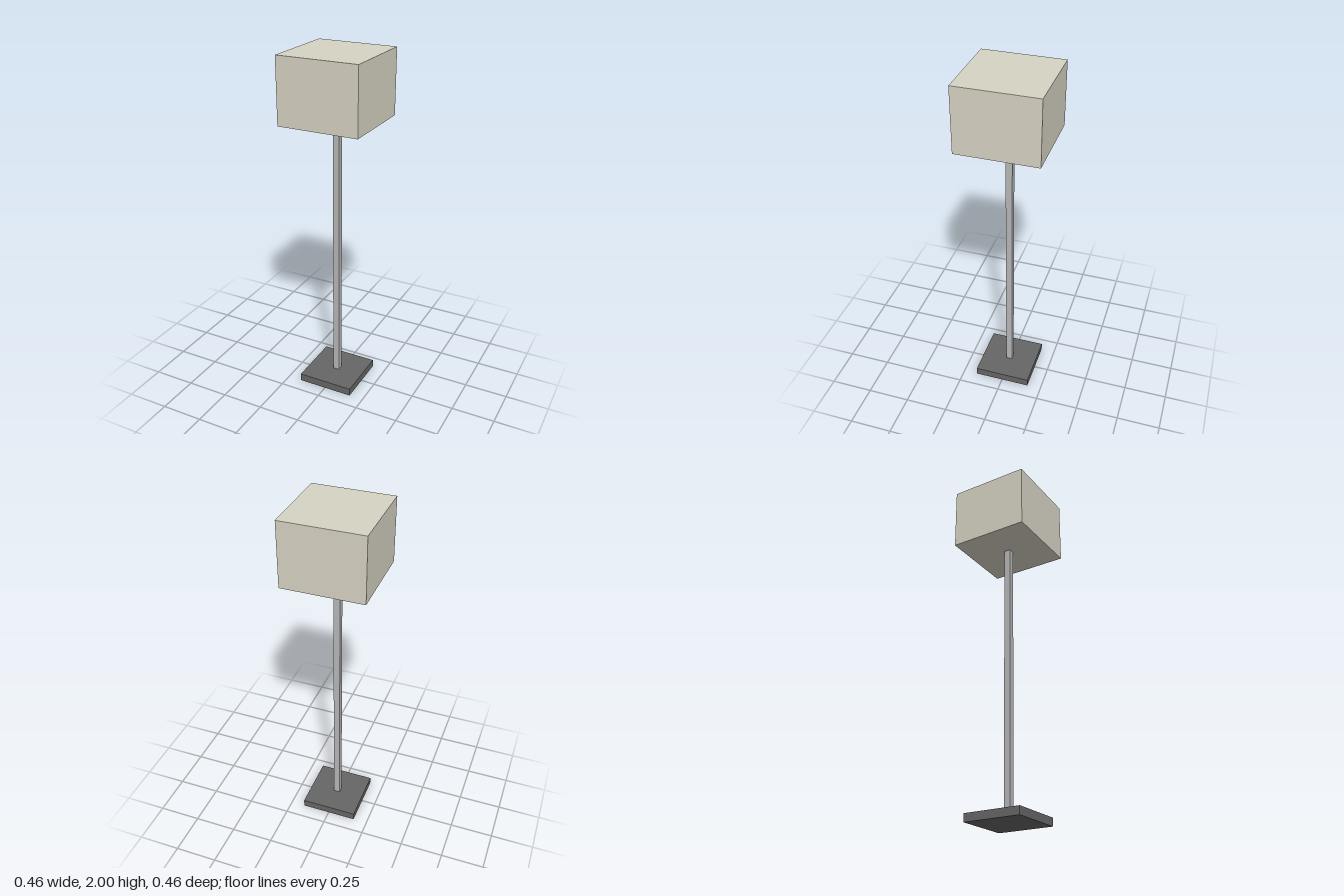
import * as THREE from 'three';

export function createModel() {
  const lamp = new THREE.Group();
  lamp.name = 'floorLamp';

  // Square block standing between two heights
  function addBlock(name, width, bottom, top, color) {
    const mesh = new THREE.Mesh(
      new THREE.BoxGeometry(width, top - bottom, width),
      new THREE.MeshStandardMaterial({ color })
    );
    mesh.name = name;
    mesh.position.y = (bottom + top) / 2;
    lamp.add(mesh);
  }

  addBlock('base', 0.332, 0, 0.046, 0x666666);
  addBlock('pole', 0.037, 0.046, 1.63, 0xb8b8b8);
  addBlock('shade', 0.463, 1.63, 2, 0xd6d3c3);

  return lamp;
}
